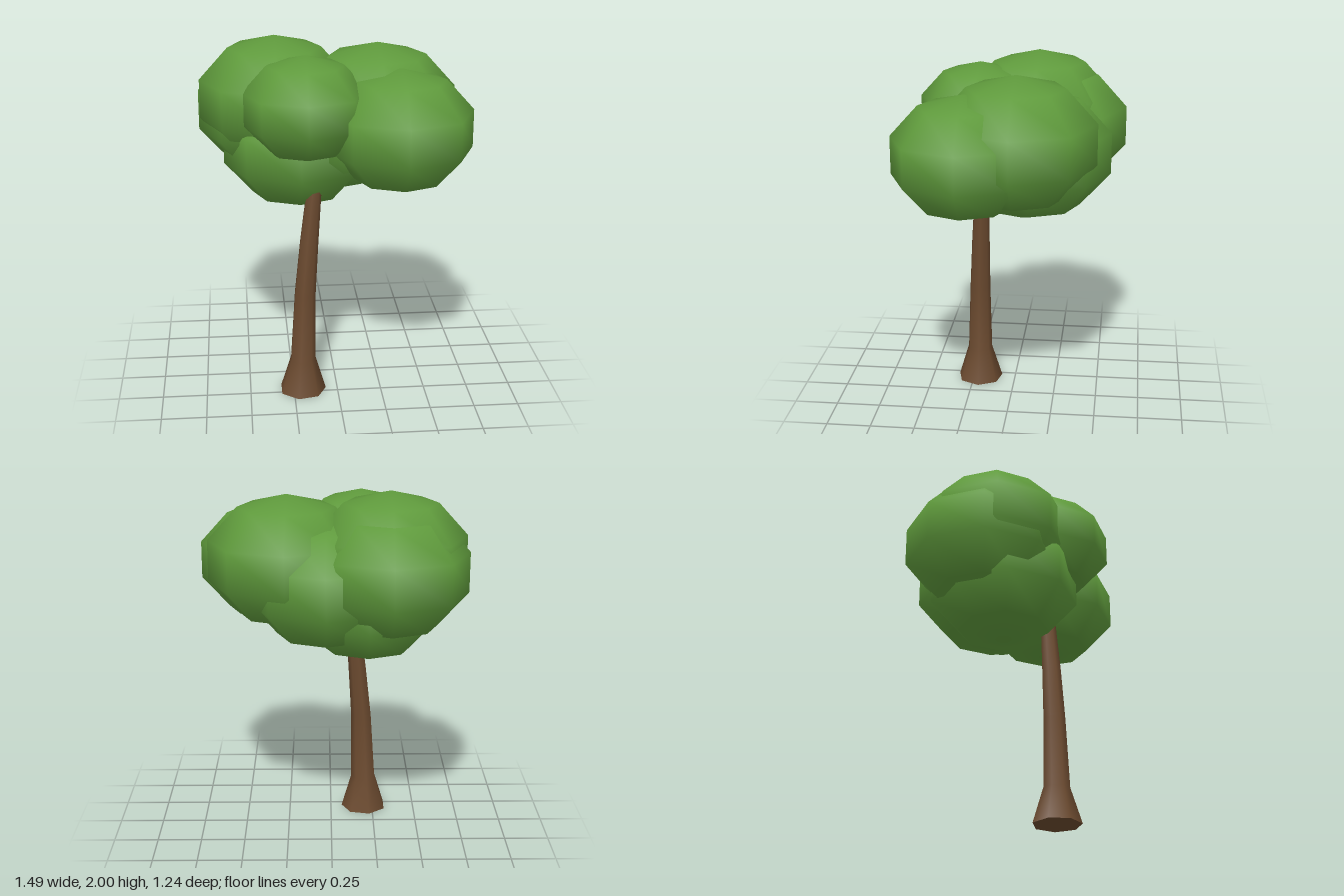
import * as THREE from 'three';
import { toCreasedNormals } from 'three/addons/utils/BufferGeometryUtils.js';

// Trunk rings from the ground up: x, y, z, radius
const TRUNK_RINGS = [
  [-0.2, 0, 0.212, 0.134],
  [-0.197, 0.2, 0.212, 0.073],
  [-0.182, 0.6, 0.207, 0.061],
  [-0.157, 0.9, 0.198, 0.053],
  [-0.13, 1.17, 0.187, 0.044],
  [-0.11, 1.32, 0.18, 0.038],
];

// Leaf clumps: name, x, y, z, radius
const CLUMPS = [
  ['upperLeftClump', -0.32, 1.65, -0.13, 0.44],
  ['upperRightClump', 0.245, 1.604, -0.05, 0.457],
  ['frontSmallClump', -0.17, 1.67, 0.19, 0.357],
  ['frontLowClump', 0.34, 1.545, 0.215, 0.42],
  ['backClump', -0.32, 1.57, -0.2, 0.45],
  ['bottomClump', -0.2, 1.4, -0.07, 0.434],
  ['backLowClump', 0.03, 1.5, -0.12, 0.457],
];

// Seven-sided cylinder whose rings are moved onto the bent, flared trunk
function trunkGeometry() {
  const n = TRUNK_RINGS.length - 1;
  const geo = new THREE.CylinderGeometry(1, 1, 1, 7, n, false, Math.PI / 2);
  const p = geo.attributes.position;
  for (let i = 0; i < p.count; i++) {
    const [x, y, z, r] = TRUNK_RINGS[Math.round((p.getY(i) + 0.5) * n)];
    p.setXYZ(i, x + p.getX(i) * r, y, z + p.getZ(i) * r);
  }
  return toCreasedNormals(geo, Math.PI / 3);
}

export function createModel() {
  const tree = new THREE.Group();
  tree.name = 'tree';

  const bark = new THREE.MeshStandardMaterial({ color: 0x6b4a2f });
  const leaves = new THREE.MeshStandardMaterial({ color: 0x5f9a3c });

  const trunk = new THREE.Mesh(trunkGeometry(), bark);
  trunk.name = 'trunk';
  tree.add(trunk);

  // Foliage: overlapping, slightly flattened coarse spheres
  const foliage = new THREE.Group();
  foliage.name = 'foliage';
  const ball = new THREE.SphereGeometry(1, 8, 5);
  for (const [name, x, y, z, r] of CLUMPS) {
    const clump = new THREE.Mesh(ball, leaves);
    clump.name = name;
    clump.position.set(x, y, z);
    clump.scale.set(r, r * 0.8, r);
    foliage.add(clump);
  }
  tree.add(foliage);
  return tree;
}
